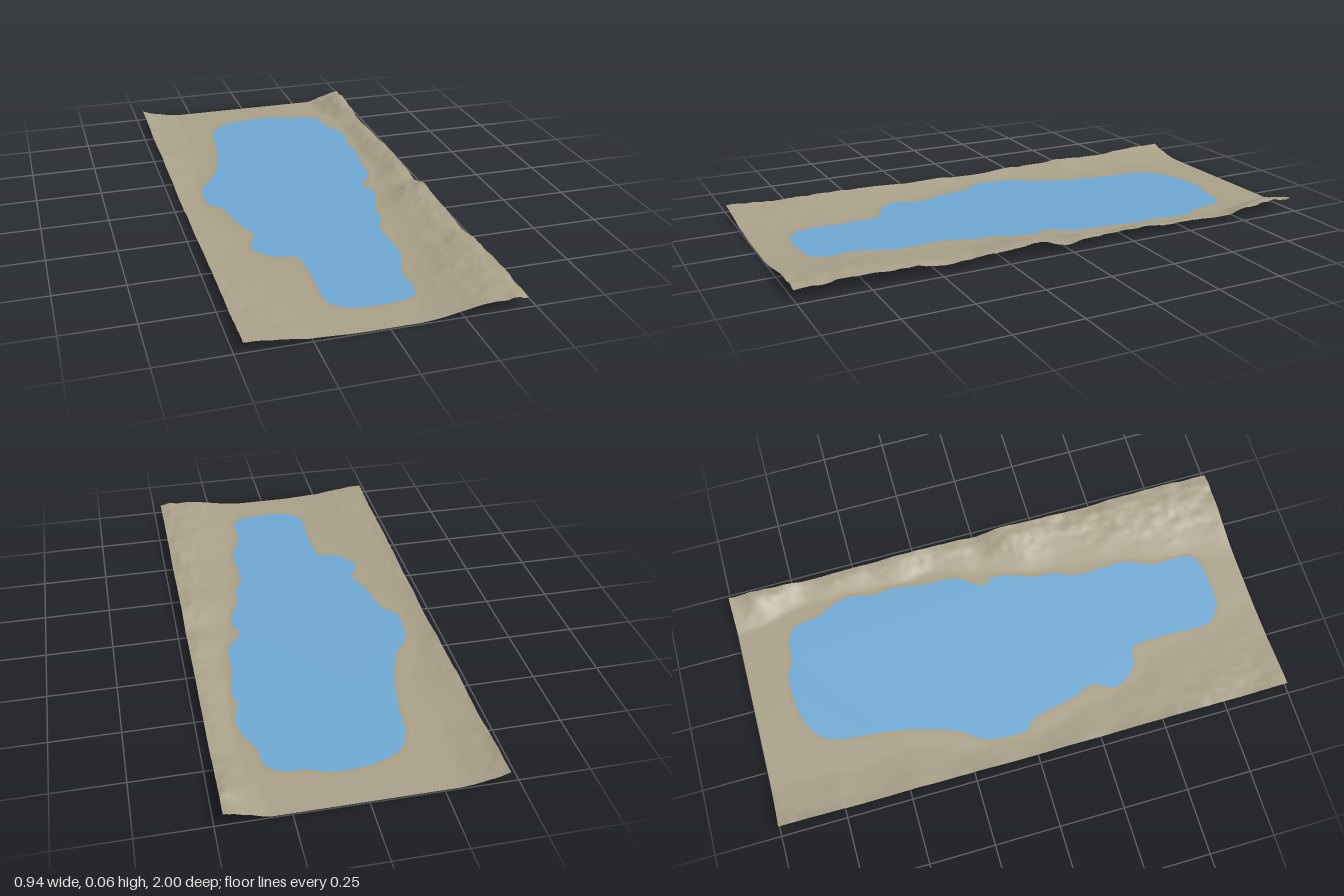
import * as THREE from 'three';

const HALF_W = 0.47, HALF_L = 1, BASE = 0.005;
const mat = (name, color) => new THREE.MeshStandardMaterial({ name, color, side: THREE.DoubleSide });

// Shoreline and deep basin outlines as x, z pairs
const SHORE = [
  0, -.845, .1, -.845, .16, -.82, .25, -.81, .3, -.77, .31, -.69, .35, -.6, .36, -.53, .34, -.44, .35, -.38,
  .33, -.24, .32, -.11, .26, -.01, .285, .03, .27, .12, .24, .2, .235, .27, .2, .36, .205, .5, .2, .57,
  .16, .68, .155, .82, .11, .855, -.07, .86, -.11, .84, -.145, .8, -.145, .62, -.16, .48, -.23, .46,
  -.295, .37, -.26, .28, -.29, .19, -.33, .02, -.365, -.01, -.355, -.18, -.3, -.26, -.25, -.4,
  -.22, -.55, -.2, -.72, -.16, -.79, -.08, -.83];
const DEEP = [-.06, -.56, .13, -.5, .15, -.3, .1, .04, .05, .3, -.03, .42, -.06, .3, -.17, -.02, -.12, -.25, -.09, -.45];

// Hill feet and crest heights along z, as z, value pairs
const RIGHT_FOOT = [-1, .33, -.6, .38, -.2, .36, 0, .31, .2, .27, .4, .23, .6, .2, .8, .17, 1, .1];
const LEFT_FOOT = [-1, .31, -.8, .33, -.5, .31, -.2, .38, 0, .385, .3, .32, .45, .28, .55, .19, .8, .16, 1, .1];
const RIGHT_CREST = [-1, .042, -.9, .044, -.78, .03, -.7, .016, -.5, .022, -.2, .026, -.06, .028, 0, .016,
  .15, .039, .3, .032, .4, .024, .6, .036, .8, .038, 1, .036];
const LEFT_CREST = [-1, .028, -.5, .022, 0, .015, .5, .024, 1, .03];

function lookup(table, z) {
  for (let i = 0; i < table.length - 2; i += 2) {
    if (z <= table[i + 2]) {
      const t = (z - table[i]) / (table[i + 2] - table[i]);
      return THREE.MathUtils.lerp(table[i + 1], table[i + 3], THREE.MathUtils.smoothstep(t, 0, 1));
    }
  }
  return table[table.length - 1];
}

// Seeded value noise
const hash = (i, j) => {
  const s = Math.sin(i * 127.1 + j * 311.7) * 43758.5453;
  return s - Math.floor(s);
};
function noise(x, z) {
  const i = Math.floor(x), j = Math.floor(z);
  const u = THREE.MathUtils.smoothstep(x - i, 0, 1), v = THREE.MathUtils.smoothstep(z - j, 0, 1);
  const { lerp } = THREE.MathUtils;
  return lerp(lerp(hash(i, j), hash(i + 1, j), u), lerp(hash(i, j + 1), hash(i + 1, j + 1), u), v) * 2 - 1;
}

// Flat valley floor rising to rough hills along both long sides
function height(x, z) {
  const right = x > 0;
  const foot = lookup(right ? RIGHT_FOOT : LEFT_FOOT, z);
  const wobble = 0.015 * noise(x * 6 + 3, z * 9);
  const t = Math.max(0, (Math.abs(x) + wobble - foot) / (HALF_W - foot));
  if (t === 0) return BASE;
  const ramp = right ? THREE.MathUtils.smoothstep(t, -0.1, 0.9) - 0.028 : Math.pow(t, 1.3);
  const rough = 0.16 * noise(x * 12, z * 10) + 0.1 * noise(x * 30 + 7, z * 22) + 0.05 * noise(x * 60, z * 50);
  const crest = lookup(right ? RIGHT_CREST : LEFT_CREST, z);
  // Small rock ledges on the steeper side
  const ledge = right ? 0.003 * THREE.MathUtils.smoothstep(noise(x * 28, z * 12 + 5), 0.1, 0.3) : 0;
  return BASE + Math.max(0, ramp) * (crest * (1 + rough) + ledge);
}

function smoothOutline(flat, count) {
  const pts = [];
  for (let i = 0; i < flat.length; i += 2) pts.push(new THREE.Vector3(flat[i], 0, flat[i + 1]));
  return new THREE.CatmullRomCurve3(pts, true, 'centripetal').getPoints(count).slice(0, -1)
    .map((p) => new THREE.Vector2(p.x, -p.z));
}

function widen(outline, d) {
  const n = outline.length;
  return outline.map((p, i) => {
    const t = outline[(i + 1) % n].clone().sub(outline[(i + n - 1) % n]).normalize();
    return new THREE.Vector2(p.x - t.y * d, p.y + t.x * d);
  });
}

// Level sheet cut from an outline, with an optional hole
function sheet(name, material, y, outline, hole) {
  const shape = new THREE.Shape(outline);
  if (hole) shape.holes.push(new THREE.Path(hole));
  const mesh = new THREE.Mesh(new THREE.ShapeGeometry(shape).rotateX(-Math.PI / 2), material);
  mesh.position.y = y;
  mesh.name = name;
  return mesh;
}

function inside(poly, x, y) {
  let hit = false;
  for (let i = 0, j = poly.length - 1; i < poly.length; j = i++) {
    const a = poly[i], b = poly[j];
    if ((a.y > y) !== (b.y > y) && x < (b.x - a.x) * (y - a.y) / (b.y - a.y) + a.x) hit = !hit;
  }
  return hit;
}

// Height-field ground, left open where the lake lies
function buildTerrain(shore, material) {
  const nx = 94, nz = 200;
  const geo = new THREE.PlaneGeometry(HALF_W * 2, HALF_L * 2, nx, nz).rotateX(-Math.PI / 2);
  const pos = geo.attributes.position;
  const wet = [];
  for (let i = 0; i < pos.count; i++) {
    const x = pos.getX(i), z = pos.getZ(i);
    wet.push(inside(shore, x, -z));
    pos.setY(i, wet[i] ? BASE : height(x, z));
  }
  const index = [];
  for (let j = 0; j < nz; j++) {
    for (let i = 0; i < nx; i++) {
      const a = j * (nx + 1) + i, b = a + 1, c = a + nx + 1, d = c + 1;
      if (!(wet[a] && wet[b] && wet[c] && wet[d])) index.push(a, c, b, b, c, d);
    }
  }
  geo.setIndex(index);
  geo.computeVertexNormals();
  const mesh = new THREE.Mesh(geo, material);
  mesh.name = 'terrain';
  return mesh;
}

export function createModel() {
  const ground = mat('ground', 0xa8a088);
  const sand = mat('sand', 0xac9c7c);
  const water = mat('water', 0x6ea8d2);
  const bed = mat('lakeBed', 0x869aa2);

  const shore = smoothOutline(SHORE, 240);
  const deep = smoothOutline(DEEP, 60);
  const beach = widen(shore, 0.014);

  const model = new THREE.Group();
  model.name = 'lakeValley';
  model.add(
    buildTerrain(shore, ground),
    sheet('shoreBand', sand, 0.0062, beach, shore),
    sheet('waterSurface', water, 0.0068, shore),
    sheet('shallowBed', bed, 0.002, shore, deep),
    sheet('deepBed', water, 0, deep),
  );
  return model;
}
